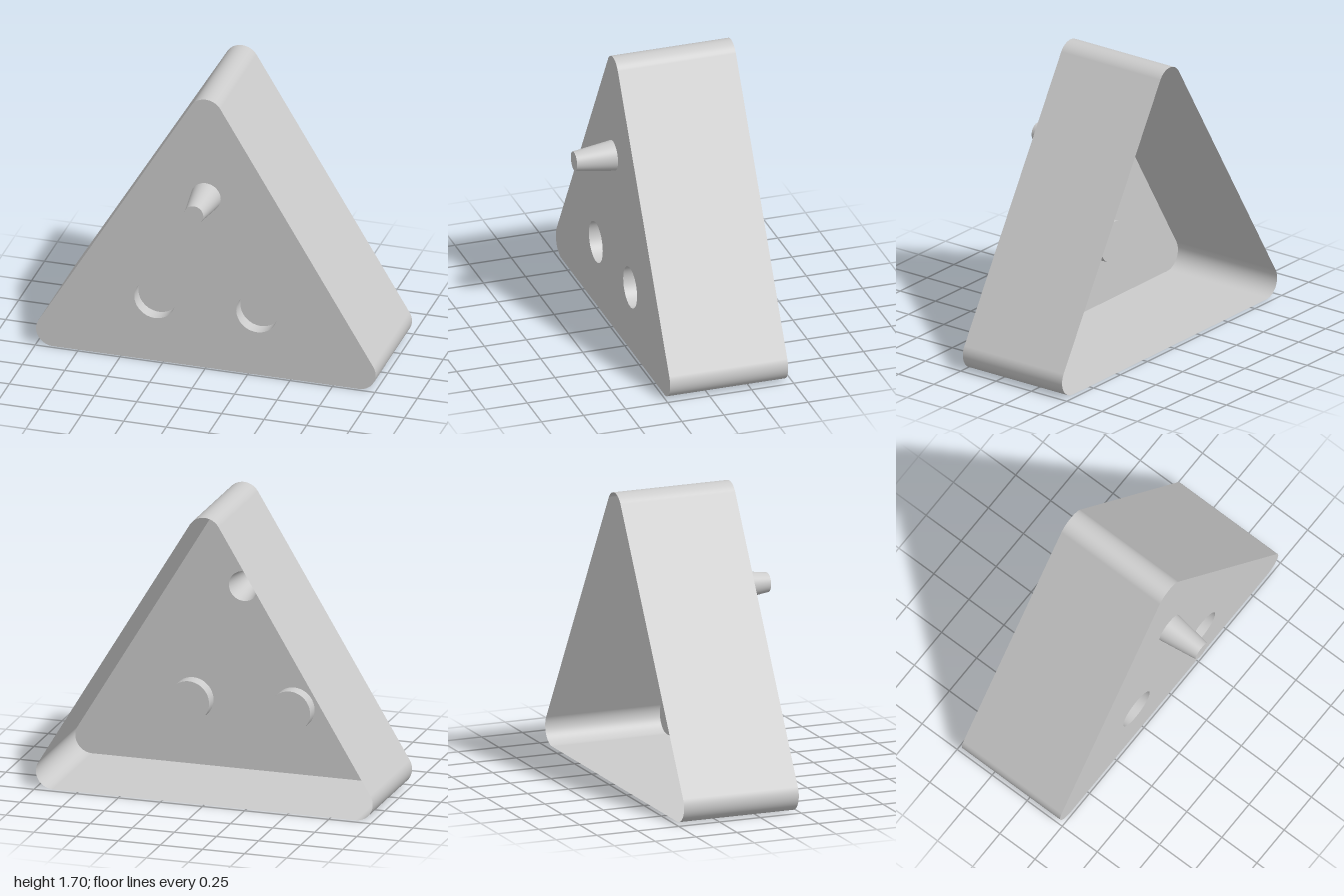
import * as THREE from 'three';

const FRONT = 0.235, BACK = -0.467, RADIUS = 0.1;

export function createModel() {
  const model = new THREE.Group();
  const material = new THREE.MeshStandardMaterial({ color: 0xcccccc, side: THREE.DoubleSide });
  const add = (name, geometry, parent = model) => {
    const mesh = new THREE.Mesh(geometry, material);
    mesh.name = name;
    parent.add(mesh);
    return mesh;
  };

  // Rounded triangle outline: three corner arcs joined by straight sides
  const slope = Math.atan2(0.9, 1.497);
  const corners = [
    [0.9, 0.1, -Math.PI / 2, slope],
    [0, 1.597, slope, Math.PI - slope],
    [-0.9, 0.1, Math.PI - slope, Math.PI * 1.5],
  ];
  const outline = [];
  const steps = 16;
  for (const [cx, cy, from, to] of corners) {
    for (let i = 0; i <= steps; i++) {
      const a = from + (to - from) * i / steps;
      const nx = Math.cos(a), ny = Math.sin(a);
      outline.push({ x: cx + RADIUS * nx, y: cy + RADIUS * ny, nx, ny });
    }
  }

  // Side walls: thin band swept from front to open back
  const positions = [], normals = [], index = [];
  outline.forEach((p, i) => {
    positions.push(p.x, p.y, BACK, p.x, p.y, FRONT);
    normals.push(p.nx, p.ny, 0, p.nx, p.ny, 0);
    const a = 2 * i, b = 2 * ((i + 1) % outline.length);
    index.push(a, b, b + 1, a, b + 1, a + 1);
  });
  const band = new THREE.BufferGeometry();
  band.setAttribute('position', new THREE.Float32BufferAttribute(positions, 3));
  band.setAttribute('normal', new THREE.Float32BufferAttribute(normals, 3));
  band.setIndex(index);
  add('sideWalls', band);

  // Round features: open mouth on the front plate, closed at the far end
  const features = [
    { name: 'peg', x: 0, y: 1.08, mouth: 0.088, end: 0.056, endZ: 0.467 },
    { name: 'leftSocket', x: 0.3, y: 0.39, mouth: 0.121, end: 0.121, endZ: FRONT - 0.08 },
    { name: 'rightSocket', x: -0.3, y: 0.39, mouth: 0.121, end: 0.121, endZ: FRONT - 0.08 },
  ];

  // Front plate, cut through at each feature
  const plate = new THREE.Shape(outline.map(p => new THREE.Vector2(p.x, p.y)));
  for (const f of features) {
    plate.holes.push(new THREE.Path().absarc(f.x, f.y, f.mouth, 0, Math.PI * 2, true));
  }
  add('frontPlate', new THREE.ShapeGeometry(plate, 24)).position.z = FRONT;

  for (const f of features) {
    const group = new THREE.Group();
    group.name = f.name;
    group.position.set(f.x, f.y, 0);
    const outward = f.endZ > FRONT;
    const wall = new THREE.CylinderGeometry(
      outward ? f.end : f.mouth, outward ? f.mouth : f.end,
      Math.abs(f.endZ - FRONT), 48, 1, true);
    wall.rotateX(Math.PI / 2);
    add(f.name + 'Wall', wall, group).position.z = (f.endZ + FRONT) / 2;
    add(f.name + 'End', new THREE.CircleGeometry(f.end, 48), group).position.z = f.endZ;
    model.add(group);
  }
  return model;
}
